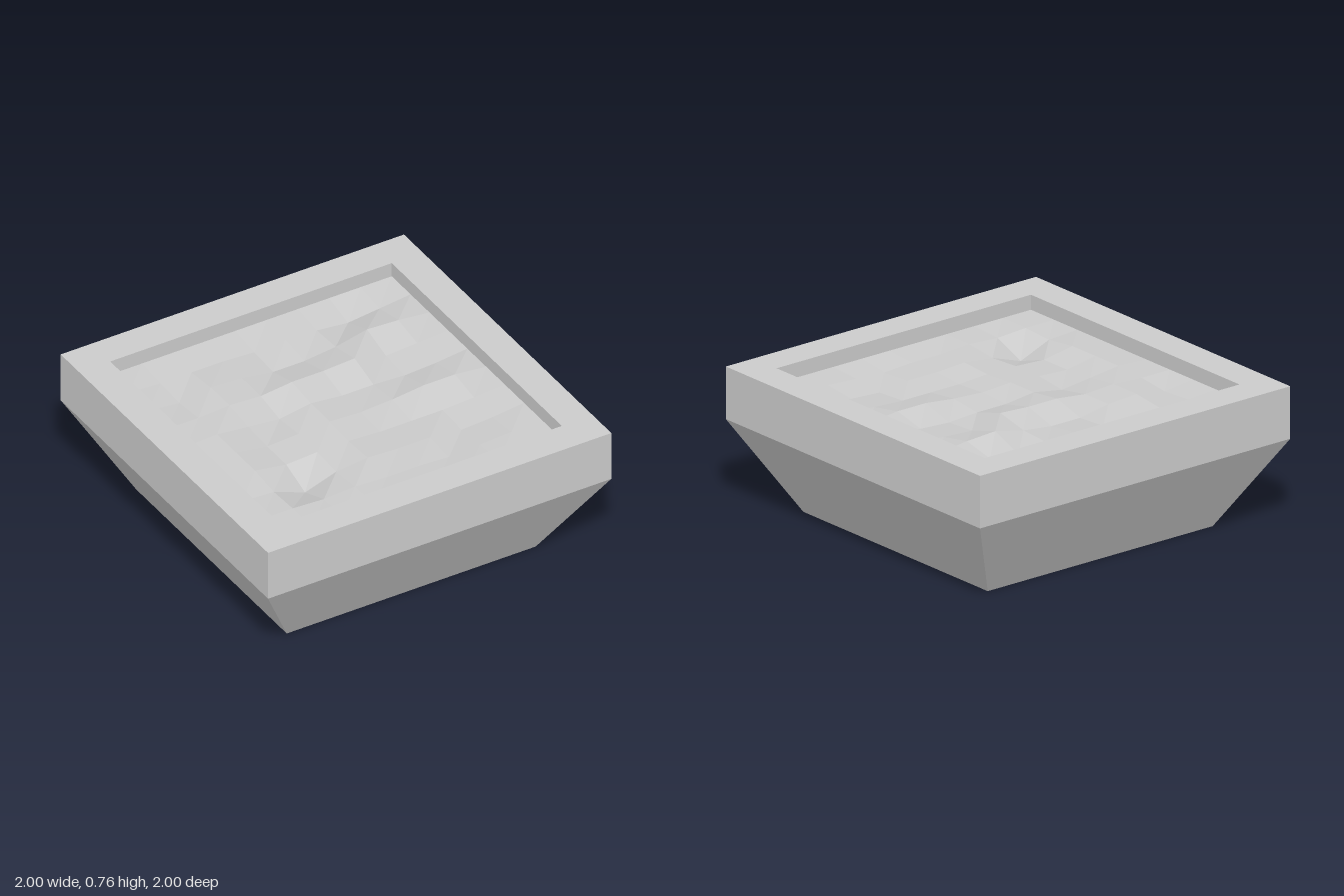
import * as THREE from 'three';

// Soil height offsets in hundredths, rows from back to front, border excluded
const BUMPS = [
  [-1, -1, -1, -2, -1, -2, -4, -2],
  [-2, 1, 0, -3, -3, -1, 3, 2],
  [0, 1, 0, 2, 2, 3, -2, -1],
  [1, -1, -3, 0, -2, -2, -3, -2],
  [1, -2, -1, 0, -1, 0, 2, 2],
  [1, -2, -1, -1, -2, -2, -2, -1],
  [-1, -8, -2, 0, -1, -1, -3, -2],
  [0, -1, 0, -1, -1, -2, -1, 0],
];
const INNER = 0.82;
const SOIL_Y = 0.68;

export function createModel() {
  const model = new THREE.Group();
  const material = new THREE.MeshStandardMaterial({ color: 0xcccccc, flatShading: true });

  // Square pot: tapered base, upright rim band and hollow, as a four-sided lathe
  const profile = [
    [0, 0], [0.725, 0], [1, 0.48], [1, 0.76],
    [INNER, 0.76], [INNER, 0.55], [0, 0.55],
  ].map(([halfWidth, y]) => new THREE.Vector2(halfWidth * Math.SQRT2, y));
  const pot = new THREE.Mesh(new THREE.LatheGeometry(profile, 4, Math.PI / 4), material);
  pot.name = 'pot';
  model.add(pot);

  // Uneven soil: a 9 x 9 grid with a level border
  const soilGeometry = new THREE.PlaneGeometry(INNER * 2, INNER * 2, 9, 9).rotateX(-Math.PI / 2);
  const position = soilGeometry.attributes.position;
  for (let i = 0; i < position.count; i++) {
    const row = Math.floor(i / 10) - 1;
    const column = (i % 10) - 1;
    position.setY(i, SOIL_Y + (BUMPS[row]?.[column] ?? 0) / 100);
  }
  soilGeometry.computeVertexNormals();
  const soil = new THREE.Mesh(soilGeometry, material);
  soil.name = 'soil';
  model.add(soil);

  return model;
}
